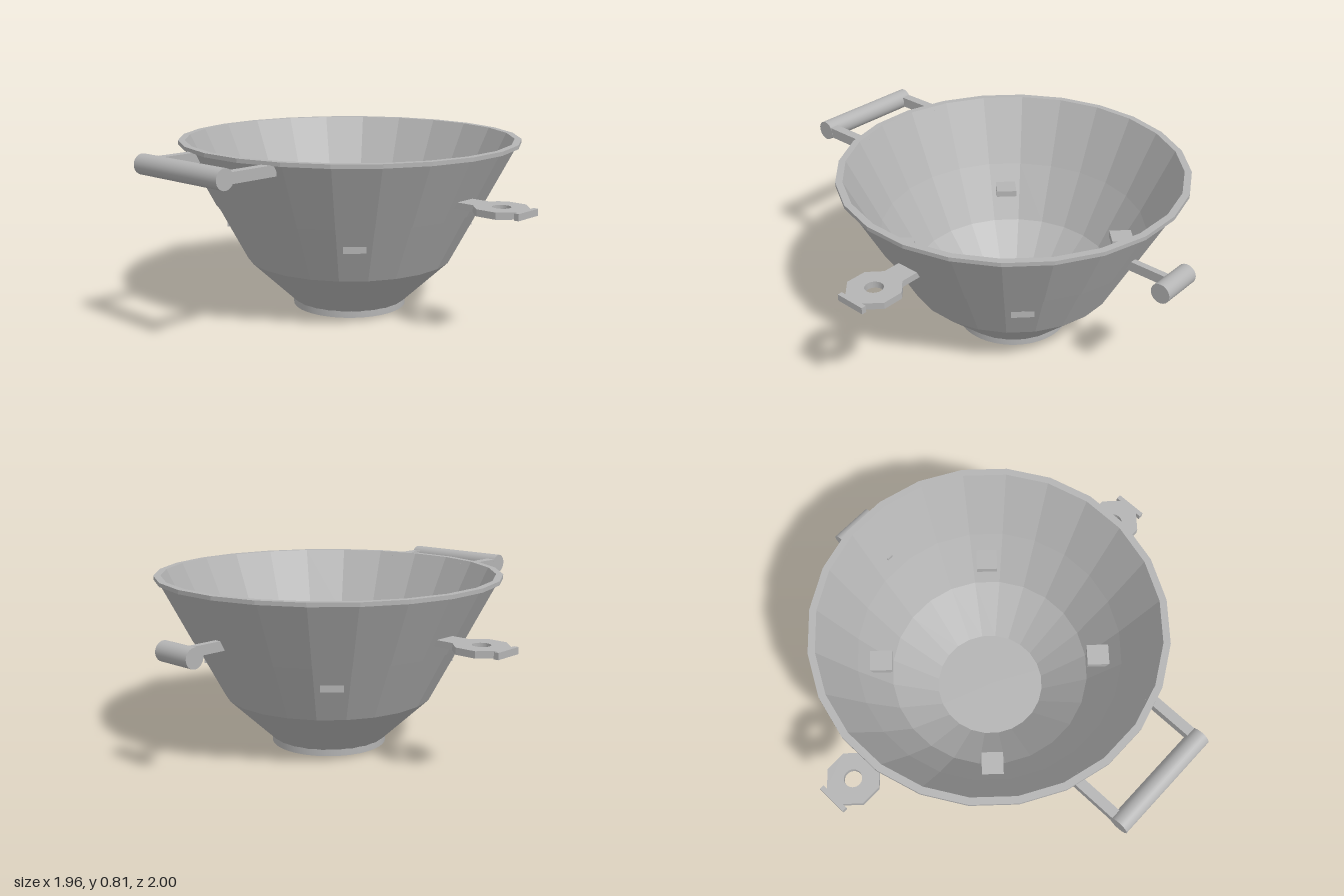
import * as THREE from 'three';

export function createModel() {
  const model = new THREE.Group();
  model.name = 'pan';
  const grey = new THREE.MeshStandardMaterial({ color: 0xb4b4b4 });
  grey.name = 'metal grey';
  const CX = 0.05; // bowl axis, shifted by the long handle

  const add = (name, geo, x = 0, y = 0, z = 0, parent = model) => {
    const mesh = new THREE.Mesh(geo, grey);
    mesh.name = name;
    mesh.position.set(x, y, z);
    parent.add(mesh);
    return mesh;
  };
  const facet = (geo) => {
    const g = geo.toNonIndexed();
    g.computeVertexNormals();
    return g;
  };

  // Faceted bowl: outer wall up, over the rim, inner wall down
  const profile = [
    [0.268, 0.028], [0.49, 0.238], [0.628, 0.5], [0.634, 0.5], [0.785, 0.79],
    [0.8, 0.79], [0.8, 0.808], [0.768, 0.808],
    [0.62, 0.5], [0.478, 0.245], [0.262, 0.034],
  ].map(([r, y]) => new THREE.Vector2(r, y));
  add('bowl', facet(new THREE.LatheGeometry(profile, 24, Math.PI / 24, Math.PI * 2)), CX);

  // Round foot, its top is the bowl floor
  add('base', new THREE.CylinderGeometry(0.27, 0.27, 0.036, 48), CX, 0.018);

  // Four small ledges inside the wall
  for (let i = 0; i < 4; i++) {
    const pivot = new THREE.Group();
    pivot.name = 'ledgePivot';
    pivot.position.x = CX;
    pivot.rotation.y = Math.PI / 4 + i * Math.PI / 2;
    model.add(pivot);
    add('ledge', new THREE.BoxGeometry(0.115, 0.03, 0.1), 0.523, 0.403, 0, pivot);
  }

  // Front and back lugs: neck, octagonal eye with a hole, end bar
  const lug = new THREE.Shape([
    [-0.055, 0.66], [0.055, 0.66], [0.055, 0.76], [0.085, 0.79], [0.112, 0.82],
    [0.112, 0.915], [0.05, 0.978], [0.072, 0.978], [0.072, 1], [-0.072, 1],
    [-0.072, 0.978], [-0.05, 0.978], [-0.112, 0.915], [-0.112, 0.82],
    [-0.085, 0.79], [-0.055, 0.76],
  ].map(([x, y]) => new THREE.Vector2(x, y)));
  const eye = new THREE.Path();
  eye.absarc(0, 0.868, 0.04, 0, Math.PI * 2, true);
  lug.holes.push(eye);
  const lugGeo = new THREE.ExtrudeGeometry(lug, { depth: 0.03, bevelEnabled: false, curveSegments: 20 });
  lugGeo.rotateX(Math.PI / 2);
  add('frontLug', lugGeo, CX, 0.595, 0);
  add('backLug', lugGeo, CX, 0.595, 0).rotation.y = Math.PI;

  // Short grip on the left side
  const bar = (r, length) => new THREE.CylinderGeometry(r, r, length, 32).rotateX(Math.PI / 2);
  add('gripStem', new THREE.BoxGeometry(0.23, 0.045, 0.03), 0.815, 0.567, 0);
  add('grip', bar(0.045, 0.2), 0.931, 0.565, 0);

  // Long handle on the right side
  for (const s of [-1, 1]) {
    add('handleArm', new THREE.BoxGeometry(0.27, 0.048, 0.045), -0.805, 0.768, s * 0.243);
  }
  add('handleBar', bar(0.045, 0.532), -0.941, 0.767, 0);

  return model;
}
